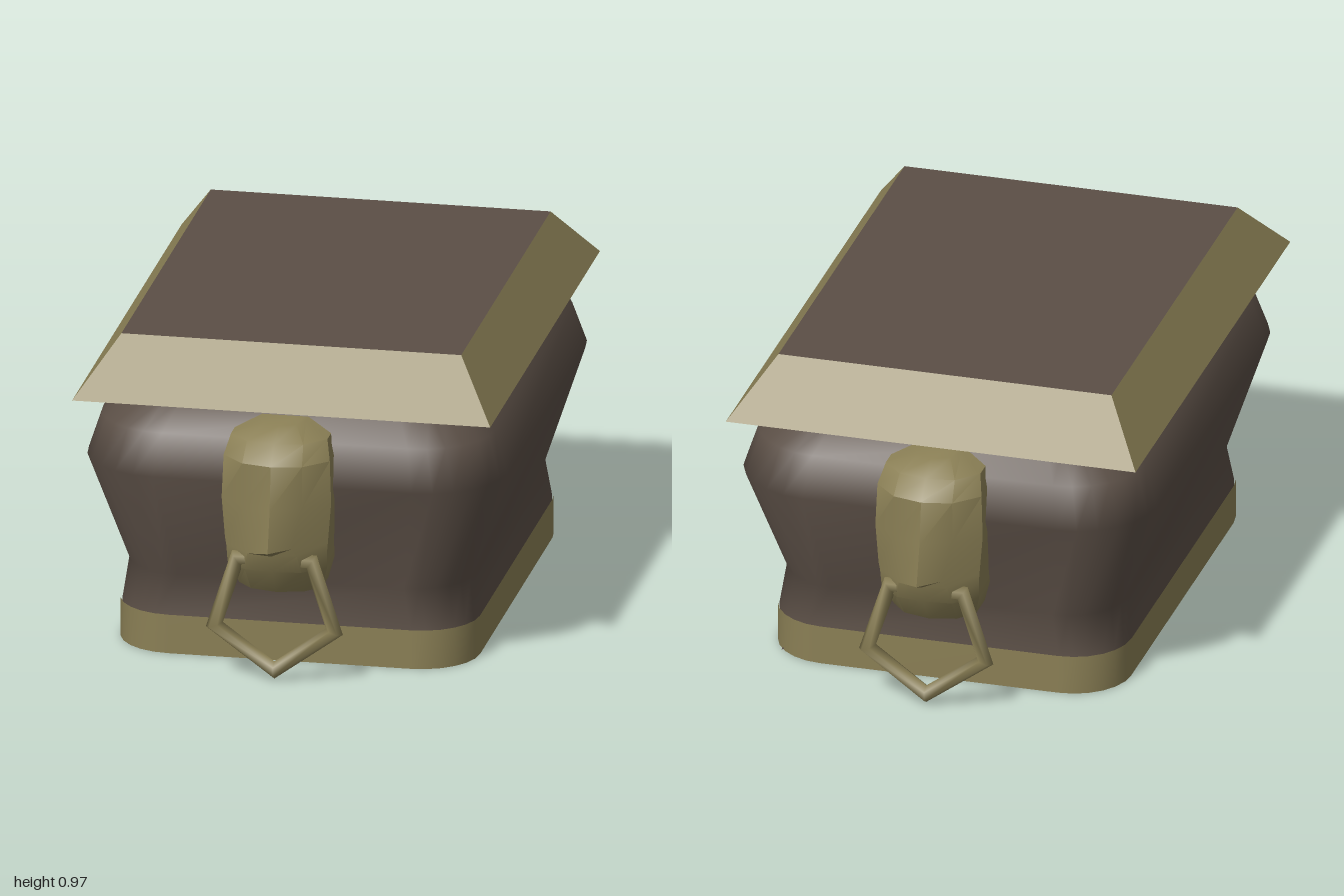
import * as THREE from 'three';
import { toCreasedNormals } from 'three/addons/utils/BufferGeometryUtils.js';

// Skins a stack of closed rings (each ring runs from +x towards +z)
function loft(rings, caps = false) {
  const n = rings[0].length, index = [];
  for (let i = 0; i < rings.length - 1; i++) {
    for (let j = 0; j < n; j++) {
      const a = i * n + j, b = i * n + (j + 1) % n;
      index.push(a, a + n, b, b, a + n, b + n);
    }
  }
  if (caps) {
    const top = (rings.length - 1) * n;
    for (let j = 1; j < n - 1; j++) {
      index.push(0, j, j + 1, top, top + j + 1, top + j);
    }
  }
  const g = new THREE.BufferGeometry();
  g.setAttribute('position', new THREE.Float32BufferAttribute(rings.flat(2), 3));
  g.setIndex(index);
  g.computeVertexNormals();
  return g;
}

// Rounded rectangle ring at height y
function roundedRing(y, hx, hz, r, steps = 6) {
  const pts = [];
  [[1, 1], [-1, 1], [-1, -1], [1, -1]].forEach(([sx, sz], c) => {
    for (let k = 0; k <= steps; k++) {
      const a = (c + k / steps) * Math.PI / 2;
      pts.push([sx * (hx - r) + r * Math.cos(a), y, sz * (hz - r) + r * Math.sin(a)]);
    }
  });
  return pts;
}

export function createModel() {
  const bronze = new THREE.MeshStandardMaterial({ color: 0x8a7f55 });
  bronze.name = 'bronze';
  const stone = new THREE.MeshStandardMaterial({ color: 0x5b4f46, side: THREE.DoubleSide });
  stone.name = 'brownStone';
  const model = new THREE.Group();
  model.name = 'casket';
  const add = (parent, name, geometry, material) => {
    const mesh = new THREE.Mesh(geometry, material);
    mesh.name = name;
    parent.add(mesh);
    return mesh;
  };

  // Bulging body: [y, half width, half depth, corner radius]
  const body = [
    [0, 0.532, 0.712, 0.17], [0.12, 0.535, 0.715, 0.17], [0.24, 0.52, 0.695, 0.18],
    [0.585, 0.63, 0.83, 0.24], [0.71, 0.59, 0.79, 0.22], [0.795, 0.505, 0.705, 0.18],
    [0.81, 0.44, 0.64, 0.15],
  ];
  add(model, 'body', loft(body.map((p) => roundedRing(...p))), stone);

  // Band around the foot
  add(model, 'plinth', loft([0, 0.12].map((y) => roundedRing(y, 0.54, 0.72, 0.175))), bronze);

  // Underside: flat half plus a half that rises into one corner
  const half = roundedRing(0, 0.53, 0.71, 0.17).filter(([x, , z]) => x / 0.53 + z / 0.71 < 0.02);
  const floorShape = new THREE.Shape(half.map(([x, , z]) => new THREE.Vector2(x, z)));
  const floor = new THREE.ShapeGeometry(floorShape).rotateX(Math.PI / 2);
  add(model, 'floor', floor, stone).position.y = 0.004;
  const raised = new THREE.BufferGeometry();
  raised.setAttribute('position', new THREE.Float32BufferAttribute(
    [-0.5, 0.004, 0.67, 0.5, 0.004, -0.67, 0.47, 0.25, 0.65], 3));
  raised.computeVertexNormals();
  add(model, 'raisedFloor', raised, stone);

  // Sloping lid with a brown top and underside
  const lidGeometry = new THREE.BoxGeometry(1.26, 0.167, 1.65);
  const p = lidGeometry.attributes.position;
  for (let i = 0; i < p.count; i++) {
    if (p.getY(i) > 0) {
      p.setX(i, Math.sign(p.getX(i)) * 0.512);
      p.setZ(i, Math.sign(p.getZ(i)) * 0.672);
    }
  }
  lidGeometry.computeVertexNormals();
  const lid = add(model, 'lid', lidGeometry, [bronze, bronze, stone, stone, bronze, bronze]);
  lid.position.set(-0.004, 0.8885, -0.002);

  // Animal head rows: [y, half width, side z, mid x, mid z, front z]
  const rows = [
    [0.238, 0.10, 0.70, 0.06, 0.72, 0.73], [0.265, 0.125, 0.80, 0.08, 0.85, 0.87],
    [0.345, 0.15, 0.85, 0.085, 0.915, 0.925], [0.40, 0.152, 0.86, 0.075, 0.93, 0.945],
    [0.425, 0.155, 0.865, 0.06, 0.94, 0.998], [0.55, 0.165, 0.865, 0.09, 0.925, 0.967],
    [0.68, 0.16, 0.86, 0.09, 0.93, 0.95], [0.735, 0.145, 0.82, 0.085, 0.885, 0.90],
    [0.77, 0.07, 0.76, 0.05, 0.81, 0.83],
  ];
  const headGeometry = toCreasedNormals(loft(rows.map(([y, w, sz, mx, mz, fz]) => [
    [w, y, 0.6], [w, y, sz], [mx, y, mz], [0, y, fz], [-mx, y, mz], [-w, y, sz], [-w, y, 0.6],
  ]), true), 0.6);

  // Five-sided pull ring hanging from the mouth
  const ringGeometry = new THREE.TorusGeometry(0.19, 0.027, 6, 5).rotateZ(-Math.PI / 2);

  for (const [side, turn] of [['front', 0], ['back', Math.PI]]) {
    const handle = new THREE.Group();
    handle.name = side + 'Handle';
    add(handle, side + 'Head', headGeometry, bronze);
    add(handle, side + 'Ring', ringGeometry, bronze).position.set(0, 0.22, 0.895);
    handle.rotation.y = turn;
    handle.position.x = -0.01;
    model.add(handle);
  }
  return model;
}
